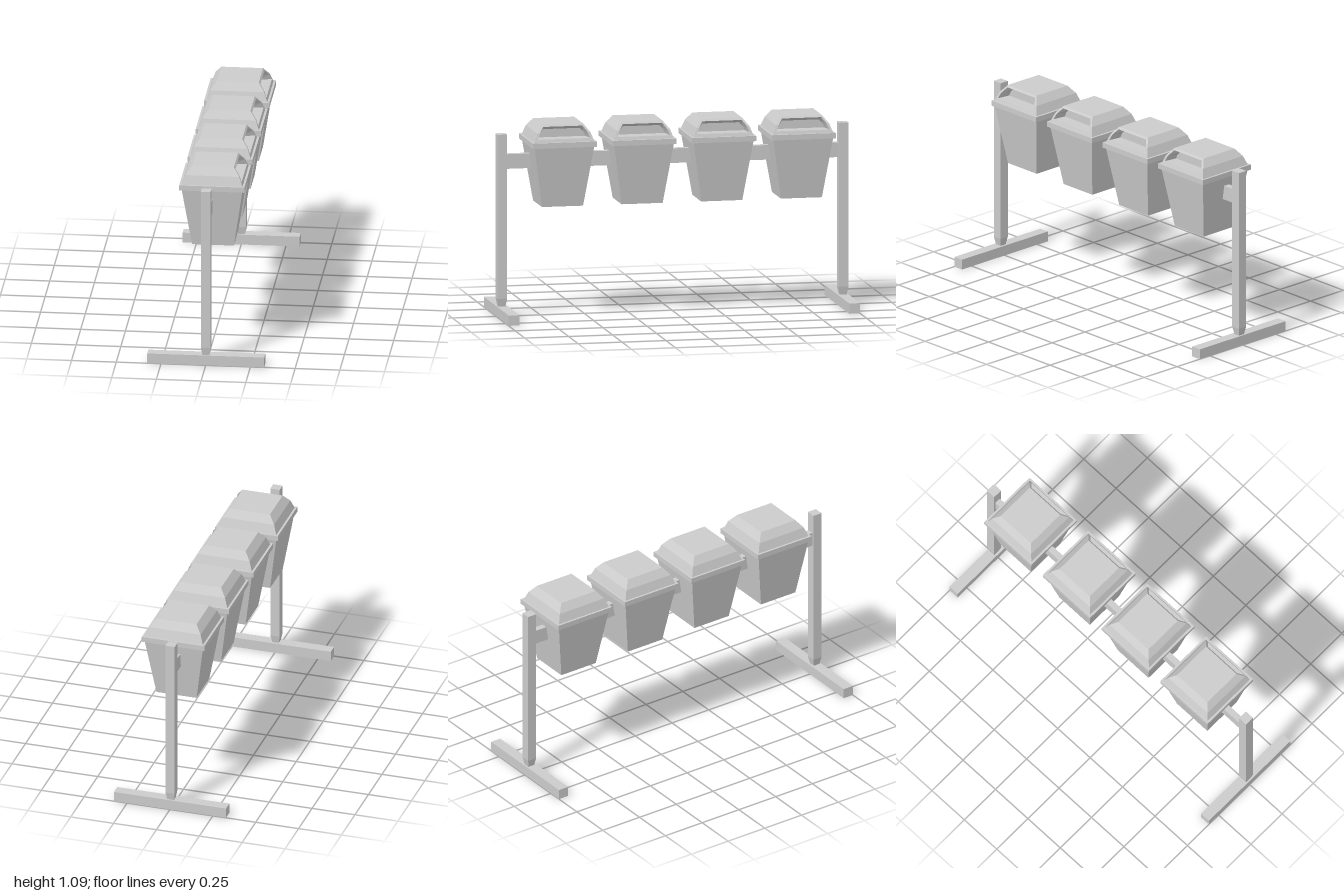
import * as THREE from 'three';

const material = new THREE.MeshStandardMaterial({ color: 0xcccccc, flatShading: true });
const openMaterial = new THREE.MeshStandardMaterial({ color: 0xcccccc, flatShading: true, side: THREE.DoubleSide });

function mesh(name, geometry, mat = material) {
  const m = new THREE.Mesh(geometry, mat);
  m.name = name;
  return m;
}

// Flat-faced geometry from quads, corners counter-clockwise from outside
function fromQuads(quads) {
  const pos = [];
  for (const [a, b, c, d] of quads) pos.push(...a, ...b, ...c, ...a, ...c, ...d);
  const g = new THREE.BufferGeometry();
  g.setAttribute('position', new THREE.Float32BufferAttribute(pos, 3));
  g.computeVertexNormals();
  return g;
}

// Square ring, corners running -x+z, +x+z, +x-z, -x-z
const ring = ([y, h]) => [[-h, y, h], [h, y, h], [h, y, -h], [-h, y, -h]];

// Square cross-sections [y, half width] joined upward; skipRight leaves the +x side open
function loftQuads(rows, { skipRight = false, bottom = true } = {}) {
  const rings = rows.map(ring), quads = [];
  for (let i = 0; i < rings.length - 1; i++) {
    const lo = rings[i], hi = rings[i + 1];
    for (let k = 0; k < 4; k++) {
      if (skipRight && k === 1) continue;
      const n = (k + 1) % 4;
      quads.push([lo[k], lo[n], hi[n], hi[k]]);
    }
  }
  quads.push(rings[rings.length - 1]);
  if (bottom) quads.push([...rings[0]].reverse());
  return quads;
}

// Domed lid with a recessed slot on its +x side
function lidGeometry() {
  const rows = [[1, 0.17], [1.051, 0.151], [1.094, 0.117]];
  const quads = loftQuads(rows, { skipRight: true, bottom: false });
  // Side rows: [y, x, half width of side, half width of slot]
  const side = [
    [1, 0.17, 0.17, 0.152], [1.018, 0.1633, 0.1633, 0.149],
    [1.051, 0.151, 0.151, 0.136], [1.083, 0.1257, 0.1257, 0.112],
    [1.094, 0.117, 0.117, 0.104],
  ];
  const strip = (a, b, za0, za1, zb0, zb1) =>
    quads.push([[a[1], a[0], za0], [a[1], a[0], za1], [b[1], b[0], zb1], [b[1], b[0], zb0]]);
  for (let i = 0; i < 4; i++) {
    const a = side[i], b = side[i + 1];
    strip(a, b, a[2], a[3], b[2], b[3]);
    strip(a, b, -a[3], -a[2], -b[3], -b[2]);
    if (i === 0 || i === 3) strip(a, b, a[3], -a[3], b[3], -b[3]);
  }
  // Slot outline, and an upright back panel set into the lid behind a level sill
  const mirrored = (half) => [...half, ...half.map(([x, y, z]) => [x, y, -z]).reverse()];
  const outer = mirrored(side.slice(1, 4).map(([y, x, , z]) => [x, y, z]));
  const inner = mirrored([[0.09, 1.019, 0.136], [0.09, 1.045, 0.124], [0.09, 1.065, 0.104]]);
  outer.forEach((p, i) => {
    const n = (i + 1) % 6;
    quads.push([p, inner[i], inner[n], outer[n]]);
  });
  quads.push([inner[0], inner[5], inner[4], inner[1]], [inner[1], inner[4], inner[3], inner[2]]);
  return fromQuads(quads);
}

// One litter bin: tapered bucket, rim and lid
function createBin() {
  const bin = new THREE.Group();
  bin.name = 'bin';
  const rim = mesh('rim', new THREE.BoxGeometry(0.365, 0.03, 0.365));
  rim.position.y = 0.985;
  bin.add(
    mesh('bucket', fromQuads(loftQuads([[0.63, 0.117], [0.972, 0.17]]))),
    rim,
    mesh('lid', lidGeometry(), openMaterial),
  );
  return bin;
}

// Foot bar, open underneath
function footGeometry() {
  const g = new THREE.BoxGeometry(0.654, 0.058, 0.062);
  const index = Array.from(g.index.array);
  index.splice(18, 6);
  g.setIndex(index);
  g.clearGroups();
  return g;
}

export function createModel() {
  const model = new THREE.Group();
  model.name = 'litterBinRow';

  // Posts with tapered lower ends, standing on foot bars
  for (const s of [1, -1]) {
    const post = mesh('post', fromQuads(loftQuads([[0.057, 0.019], [0.103, 0.0275], [1.028, 0.0275]])));
    post.position.z = s * 0.971;
    const foot = mesh('foot', footGeometry(), openMaterial);
    foot.position.set(0, 0.029, s * 0.969);
    model.add(post, foot);
  }

  // Crossbar carrying the bins
  const beam = mesh('crossbar', new THREE.BoxGeometry(0.036, 0.082, 1.89));
  beam.position.y = 0.874;
  model.add(beam);

  // Row of four bins
  for (let i = 0; i < 4; i++) {
    const bin = createBin();
    bin.position.set(0.017, 0, 0.652 - i * 0.453);
    model.add(bin);
  }
  return model;
}
